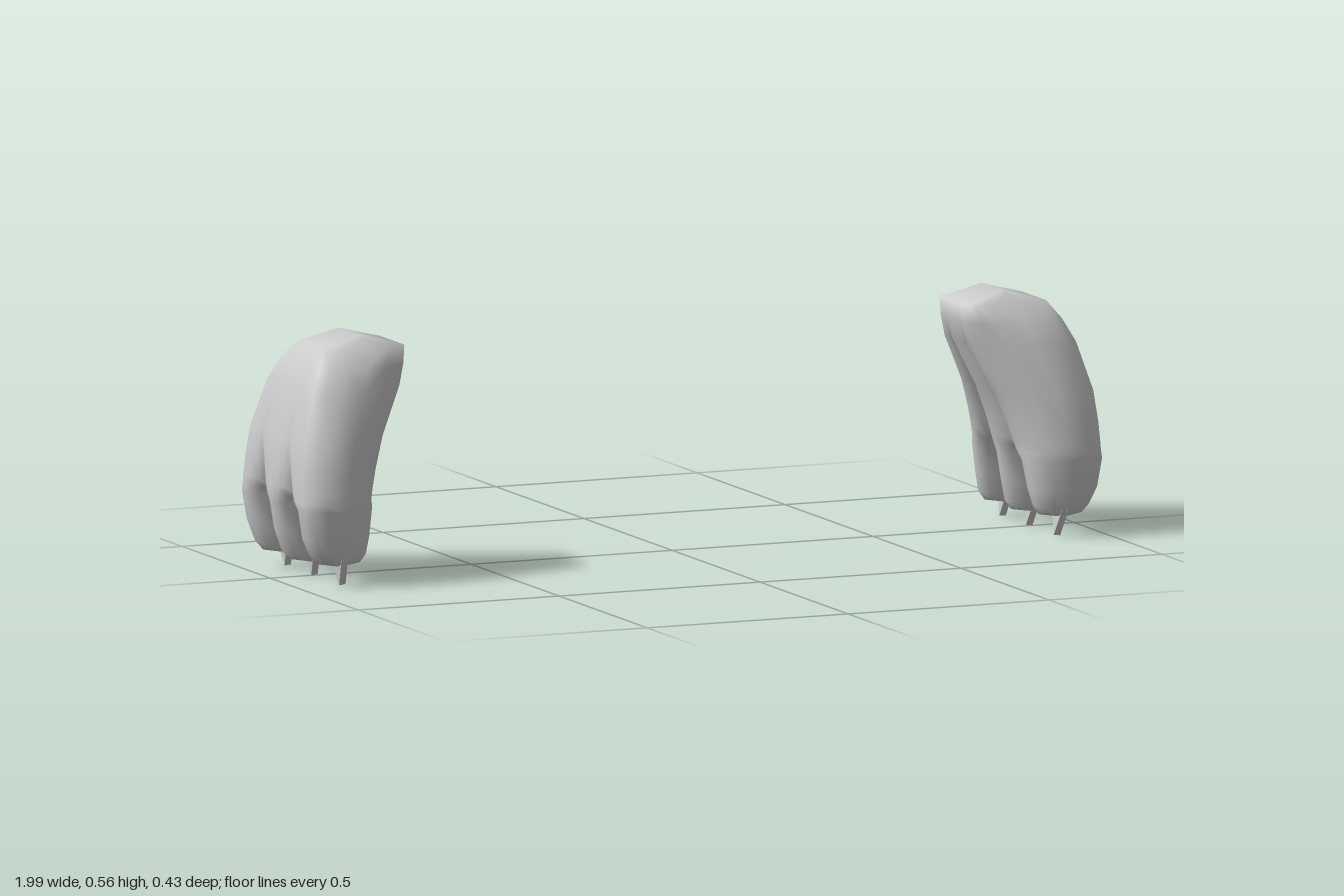
import * as THREE from 'three';
import { mergeVertices } from 'three/addons/utils/BufferGeometryUtils.js';

// Hand sections, top to bottom: y, inner x, outer x, half width, half gap between fingers
const SECTIONS = [
  [0.556, 0.80, 0.80, 0.07, 0],
  [0.53, 0.697, 0.90, 0.103, 0],
  [0.49, 0.70, 0.93, 0.135, 0],
  [0.44, 0.71, 0.955, 0.161, 0],
  [0.33, 0.765, 0.985, 0.196, 0],
  [0.26, 0.79, 0.993, 0.207, 0],
  [0.215, 0.803, 0.996, 0.212, 0],
  [0.194, 0.808, 0.997, 0.214, 0],
  [0.176, 0.811, 0.996, 0.212, 0.032],
  [0.11, 0.822, 0.985, 0.203, 0.037],
  [0.06, 0.832, 0.967, 0.19, 0.045],
  [0.041, 0.845, 0.95, 0.181, 0.052],
  [0.033, 0.90, 0.90, 0.167, 0.063],
];
const COLS = 8;
const CROTCH = 0.194;
const { clamp, lerp } = THREE.MathUtils;

// Front and rear z edge of a finger; neighbours share an edge above the crotch
function fingerEdges(finger, y, half, gap) {
  const front = y < CROTCH ? 0.073 : 0.34 * half;
  const rear = y < CROTCH ? -0.079 : -0.39 * half;
  const rearGap = Math.max(0, gap - 0.004);
  return [
    [half, front + gap],
    [front - gap, rear + rearGap],
    [rear - rearGap, -half],
  ][finger];
}

// One point on the outer or inner surface of a finger
function handPoint([y, xi, xo, half, gap], finger, col, outer, side) {
  const u = Math.sin((col / COLS - 0.5) * Math.PI);
  const [z0, z1] = fingerEdges(finger, y, half, gap);
  const z = lerp(z0, z1, (u + 1) / 2);
  // Rounded cross-section, filled by the web between fingers
  const round = Math.pow(Math.max(0, 1 - Math.pow(Math.abs(u), 2.3)), 1 / 2.3);
  const freeEdge = (finger === 0 && u < 0) || (finger === 2 && u > 0);
  const web = freeEdge ? 0 : Math.pow(clamp((y - CROTCH) / (outer ? 0.12 : 0.28), 0, 1), 0.4);
  const full = round + (1 - round) * web;
  const mid = (xi + xo) / 2;
  const x = lerp(mid, outer ? xo : xi, full);
  // The palm side is narrower than the back of the hand
  const narrow = Math.min(1, Math.max(1 - 1.05 * (y - 0.06), 0.105 / half));
  const taper = outer ? 1 : lerp(1, narrow, full);
  const lift = finger === 0 && y < 0.1 ? 0.011 : 0;
  return [side * x, y + lift, z * taper];
}

// Palm and three fingers as one smooth skin
function handGeometry(side) {
  const positions = [];
  const indices = [];
  for (let finger = 0; finger < 3; finger++) {
    for (const outer of [true, false]) {
      const base = positions.length / 3;
      for (const section of SECTIONS) {
        for (let c = 0; c <= COLS; c++) positions.push(...handPoint(section, finger, c, outer, side));
      }
      for (let r = 0; r < SECTIONS.length - 1; r++) {
        for (let c = 0; c < COLS; c++) {
          const a = base + r * (COLS + 1) + c;
          const b = a + 1;
          const d = a + COLS + 1;
          const e = d + 1;
          if (outer === side > 0) indices.push(a, d, b, b, d, e);
          else indices.push(a, b, d, b, e, d);
        }
      }
    }
  }
  const skin = new THREE.BufferGeometry();
  skin.setAttribute('position', new THREE.Float32BufferAttribute(positions, 3));
  skin.setIndex(indices);
  const geometry = mergeVertices(skin, 1e-4);
  geometry.computeVertexNormals();
  return geometry;
}

// Thin pointed nail, flat in the y-z plane
function clawGeometry() {
  const shape = new THREE.Shape();
  shape.moveTo(0, 0);
  shape.lineTo(0.03, 0.062);
  shape.lineTo(-0.03, 0.062);
  shape.closePath();
  const geometry = new THREE.ExtrudeGeometry(shape, { depth: 0.016, bevelEnabled: false });
  geometry.translate(0, 0, -0.008);
  geometry.rotateY(Math.PI / 2);
  return geometry;
}

export function createModel() {
  const model = new THREE.Group();
  const material = new THREE.MeshStandardMaterial({ color: 0xcccccc });
  const claw = clawGeometry();
  for (const side of [1, -1]) {
    const hand = new THREE.Group();
    hand.name = side > 0 ? 'leftHand' : 'rightHand';
    const skin = new THREE.Mesh(handGeometry(side), material);
    skin.name = 'palmAndFingers';
    hand.add(skin);
    // Nails lean slightly outward towards the root
    [['frontClaw', 0.157], ['middleClaw', -0.001], ['rearClaw', -0.153]].forEach(([name, z]) => {
      const nail = new THREE.Mesh(claw, material);
      nail.name = name;
      nail.position.set(side * 0.889, 0.001, z);
      nail.rotation.z = -side * 0.12;
      hand.add(nail);
    });
    model.add(hand);
  }
  return model;
}
